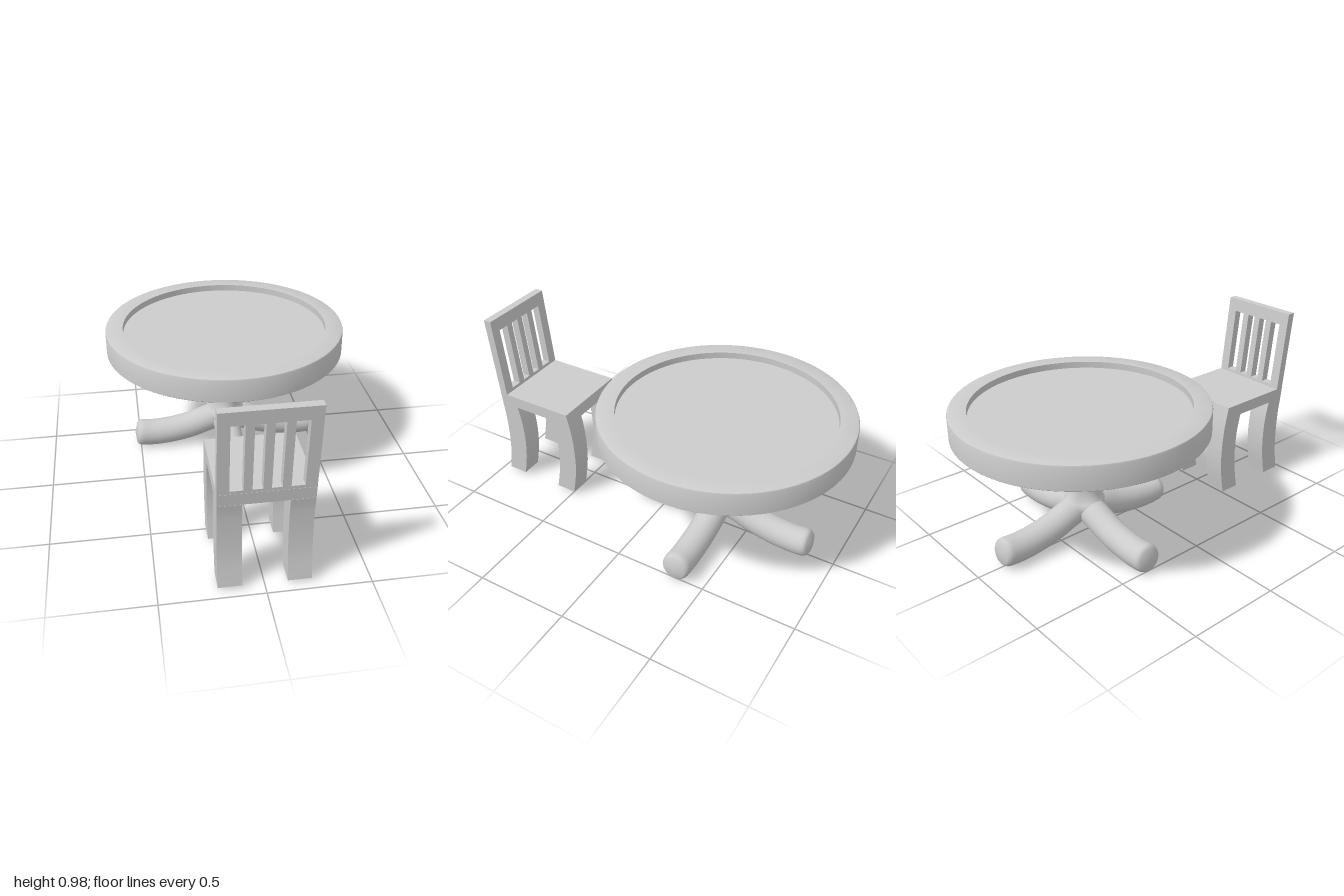
import * as THREE from 'three';
import { mergeVertices, toCreasedNormals } from 'three/addons/utils/BufferGeometryUtils.js';

const material = new THREE.MeshStandardMaterial({ color: 0xcccccc });
const v2 = (pts) => pts.map(([x, y]) => new THREE.Vector2(x, y));

function part(name, geometry, parent) {
  const mesh = new THREE.Mesh(geometry, material);
  mesh.name = name;
  parent.add(mesh);
  return mesh;
}

// Shares the vertices along seams so that the normals are smooth everywhere
function smooth(geometry) {
  geometry.deleteAttribute('uv');
  geometry.deleteAttribute('normal');
  const merged = mergeVertices(geometry, 1e-5);
  merged.computeVertexNormals();
  return merged;
}

// Extrudes a side profile drawn in (z, y) across the x range
function sideExtrude(shape, x0, x1) {
  const g = new THREE.ExtrudeGeometry(shape, { depth: x1 - x0, bevelEnabled: false, curveSegments: 14 });
  g.rotateY(-Math.PI / 2).translate(x1, 0, 0);
  return toCreasedNormals(g, 0.5);
}

// Curved chair leg: one spline down the outer edge, one back up the inner edge
function legShape(down, up) {
  const shape = new THREE.Shape();
  shape.moveTo(...down[0]);
  shape.splineThru(v2(down.slice(1)));
  shape.lineTo(...up[0]);
  shape.splineThru(v2(up.slice(1)));
  return shape;
}

function createTable() {
  const table = new THREE.Group();
  table.name = 'table';

  // Round top with a raised rim around a sunken surface
  const top = new THREE.LatheGeometry(v2([
    [0, 0.615], [0.652, 0.615], [0.655, 0.618], [0.655, 0.735], [0.652, 0.742], [0.645, 0.745],
    [0.56, 0.745], [0.56, 0.71], [0, 0.71],
  ]), 96);
  part('tableTop', toCreasedNormals(top, 0.6), table);

  // Column whose base flares out towards the four feet
  const profile = new THREE.SplineCurve(v2([
    [0.001, 0.1], [0.06, 0.105], [0.105, 0.135], [0.13, 0.175], [0.125, 0.2],
    [0.102, 0.225], [0.085, 0.26], [0.075, 0.31], [0.073, 0.38], [0.073, 0.5], [0.073, 0.62],
  ])).getPoints(50);
  const column = new THREE.LatheGeometry(profile, 64);
  const pos = column.attributes.position;
  for (let i = 0; i < pos.count; i++) {
    const x = pos.getX(i), z = pos.getZ(i), r = Math.hypot(x, z);
    const flare = Math.max(0, r - 0.073);
    const k = (r - flare * 0.2 * (1 - Math.cos(4 * Math.atan2(z, x)))) / r;
    pos.setXYZ(i, x * k, pos.getY(i), z * k);
  }
  part('column', smooth(column), table);

  // Four swept feet with softly rounded ends
  const path = new THREE.CatmullRomCurve3([
    [0, 0.17], [0.1, 0.143], [0.2, 0.108], [0.3, 0.086], [0.42, 0.075], [0.53, 0.083],
  ].map(([x, y]) => new THREE.Vector3(x, y, 0)));
  const rings = 48, sides = 32, taper = [0, 0.78, 0.93, 0.985];
  const foot = new THREE.TubeGeometry(path, rings, 0.075, sides, false);
  const fp = foot.attributes.position;
  const p = new THREE.Vector3();
  taper.forEach((scale, k) => {
    const centre = path.getPointAt((rings - k) / rings);
    for (let j = 0; j <= sides; j++) {
      const i = (rings - k) * (sides + 1) + j;
      p.fromBufferAttribute(fp, i).sub(centre).multiplyScalar(scale).add(centre);
      fp.setXYZ(i, p.x, p.y, p.z);
    }
  });
  const footGeometry = smooth(foot);
  for (let i = 0; i < 4; i++) {
    part('foot' + (i + 1), footGeometry, table).rotation.y = i * Math.PI / 2;
  }

  table.position.z = -0.345;
  return table;
}

function createChair() {
  const chair = new THREE.Group();
  chair.name = 'chair';
  const half = 0.222, legInner = 0.107;

  // Seat slab
  const seat = new THREE.Shape(v2([[0.489, 0.475], [0.942, 0.475], [0.95, 0.54], [0.5, 0.54]]));
  part('seat', sideExtrude(seat, -half, half), chair);

  // Two pairs of curved legs
  const tableSide = legShape(
    [[0.5, 0.54], [0.473, 0.41], [0.461, 0.27], [0.466, 0.15], [0.487, 0.017]],
    [[0.6, 0.017], [0.577, 0.15], [0.571, 0.27], [0.58, 0.38], [0.6, 0.476]]);
  const backSide = legShape(
    [[0.84, 0.476], [0.82, 0.38], [0.811, 0.27], [0.817, 0.15], [0.84, 0.017]],
    [[0.951, 0.017], [0.931, 0.15], [0.926, 0.27], [0.932, 0.4], [0.943, 0.476]]);
  for (const [x0, x1, side] of [[legInner, half, 'Left'], [-half, -legInner, 'Right']]) {
    part('tableSideLeg' + side, sideExtrude(tableSide, x0, x1), chair);
    part('backLeg' + side, sideExtrude(backSide, x0, x1), chair);
  }

  // Backrest panel with four slots, leaning outwards
  const panel = new THREE.Shape(v2([[-half, 0.535], [half, 0.535], [half, 0.98], [-half, 0.98]]));
  for (const [a, b] of [[-0.167, -0.105], [-0.066, -0.019], [0.019, 0.066], [0.105, 0.167]]) {
    panel.holes.push(new THREE.Path(v2([[a, 0.557], [a, 0.91], [b, 0.91], [b, 0.557]])));
  }
  const back = new THREE.ExtrudeGeometry(panel, { depth: 0.043, bevelEnabled: false });
  const pos = back.attributes.position;
  for (let i = 0; i < pos.count; i++) {
    pos.setZ(i, pos.getZ(i) + 0.906 + (pos.getY(i) - 0.54) * 0.116);
  }
  back.computeVertexNormals();
  part('backrest', back, chair);
  return chair;
}

export function createModel() {
  const model = new THREE.Group();
  model.name = 'tableAndChair';
  model.add(createTable(), createChair());
  return model;
}
